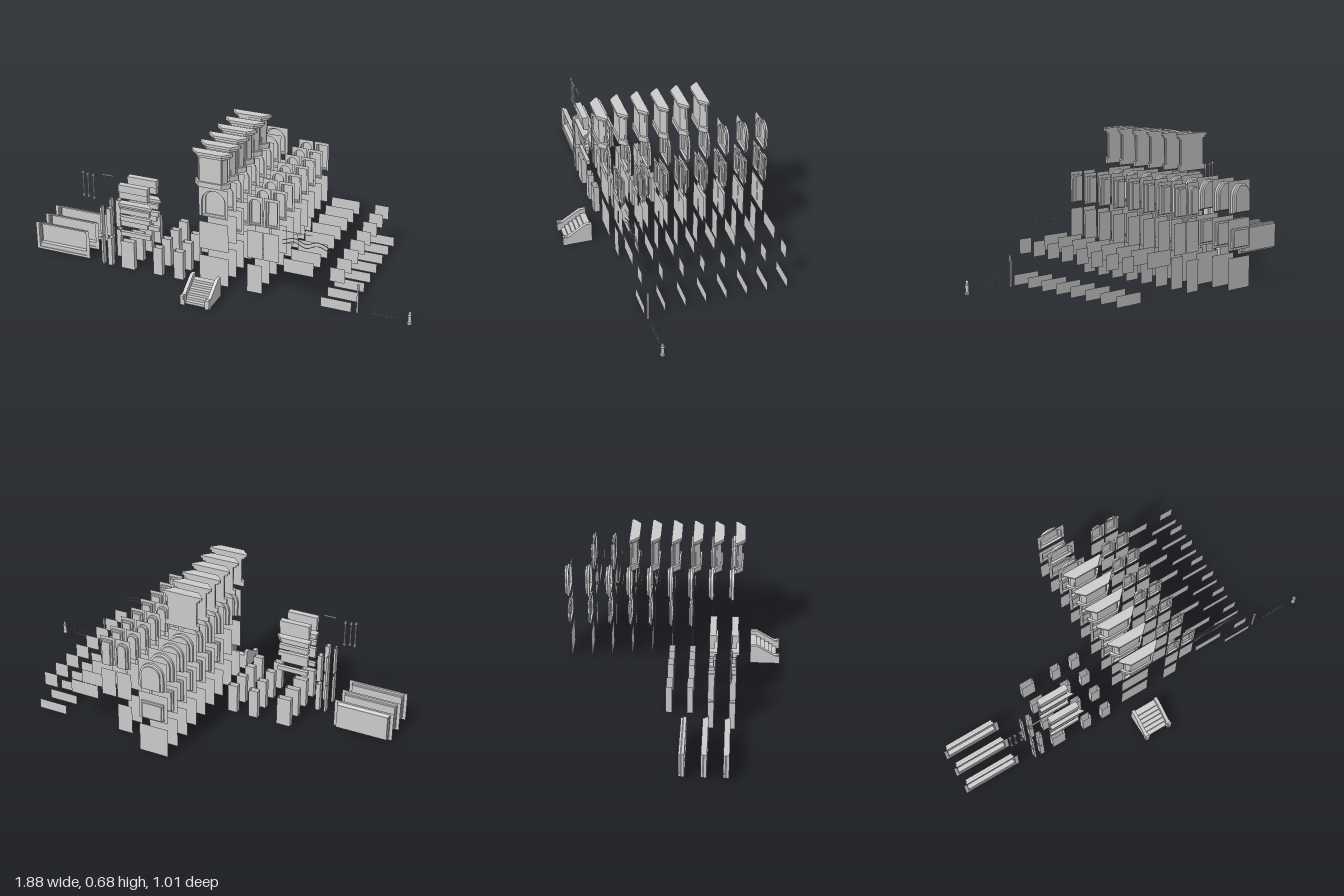
import * as THREE from 'three';

const mat = new THREE.MeshStandardMaterial({ color: 0xcccccc, side: THREE.DoubleSide, flatShading: true });
const smooth = new THREE.MeshStandardMaterial({ color: 0xcccccc, side: THREE.DoubleSide });
const STEP = 0.0956, FRONT = 0.28;
const rowZ = (i) => FRONT - i * STEP;

function add(parent, name, geo, x = 0, y = 0, z = 0, m = mat) {
  const mesh = new THREE.Mesh(geo, m);
  mesh.name = name;
  mesh.position.set(x, y, z);
  parent.add(mesh);
  return mesh;
}

// Box given by its limits
function block(parent, name, x0, x1, y0, y1, z0, z1) {
  return add(parent, name, new THREE.BoxGeometry(x1 - x0, y1 - y0, z1 - z0),
    (x0 + x1) / 2, (y0 + y1) / 2, (z0 + z1) / 2);
}

function sheet(parent, name, x0, x1, y0, y1, z) {
  return add(parent, name, new THREE.PlaneGeometry(x1 - x0, y1 - y0), (x0 + x1) / 2, (y0 + y1) / 2, z);
}

// Outline of a window opening, square or round-headed
function opening(x0, x1, y0, y1, arched) {
  const p = [new THREE.Vector2(x0, y0), new THREE.Vector2(x1, y0)];
  if (!arched) return [...p, new THREE.Vector2(x1, y1), new THREE.Vector2(x0, y1)];
  const r = (x1 - x0) / 2, cx = (x0 + x1) / 2;
  for (let i = 0; i <= 12; i++) {
    const a = Math.PI * i / 12;
    p.push(new THREE.Vector2(cx + r * Math.cos(a), y1 - r + r * Math.sin(a)));
  }
  return p;
}

// Surface joining cross-sections; each ring is a list of Vector3
function loft(rings, closed = true) {
  const n = rings[0].length, pos = [], idx = [];
  rings.forEach((r) => r.forEach((v) => pos.push(v.x, v.y, v.z)));
  for (let k = 0; k < rings.length - 1; k++) {
    for (let i = 0; i < (closed ? n : n - 1); i++) {
      const j = (i + 1) % n, a = k * n + i, b = k * n + j;
      idx.push(a, b, b + n, a, b + n, a + n);
    }
  }
  const g = new THREE.BufferGeometry();
  g.setAttribute('position', new THREE.Float32BufferAttribute(pos, 3));
  g.setIndex(idx);
  g.computeVertexNormals();
  return g;
}

// Thin wall with a stepped recess behind its opening; w = wall limits, o = opening limits
function recessedWall(parent, name, w, o, z, depth, inset, arched = false) {
  const g = new THREE.Group();
  g.name = name;
  parent.add(g);
  const front = opening(...o, arched);
  const back = opening(o[0] + inset, o[1] - inset, o[2] + inset * 0.4, o[3] - inset * 0.7, arched);
  const wall = new THREE.Shape(opening(...w, false));
  wall.holes.push(new THREE.Path(front));
  add(g, 'wall', new THREE.ShapeGeometry(wall), 0, 0, z);
  const at = (pts, d) => pts.map((p) => new THREE.Vector3(p.x, p.y, z - d));
  add(g, 'reveal', loft([at(front, 0), at(front, depth * 0.5), at(back, depth * 0.65), at(back, depth)]));
  add(g, 'pane', new THREE.ShapeGeometry(new THREE.Shape(back)), 0, 0, z - depth);
  return g;
}

// Upright prism over a plan drawn in x and z
function prism(parent, name, plan, y0, y1) {
  const s = new THREE.Shape(plan.map(([x, z]) => new THREE.Vector2(x, -z)));
  const g = new THREE.ExtrudeGeometry(s, { depth: y1 - y0, bevelEnabled: false });
  g.rotateX(-Math.PI / 2);
  return add(parent, name, g, 0, y0, 0);
}

// Projecting bay: base, canted body with windows, stepped cap
function bay(parent, z) {
  const g = new THREE.Group();
  g.name = 'bayWindow';
  g.position.z = z;
  parent.add(g);
  const plan = (b, f, d) => [[-b, 0], [b, 0], [b, d * 0.2], [f, d], [-f, d], [-b, d * 0.2]];
  prism(g, 'bayBase', plan(0.086, 0.056, 0.04), 0.51, 0.535);
  prism(g, 'bayBody', plan(0.072, 0.052, 0.033), 0.535, 0.655);
  prism(g, 'bayMoulding', plan(0.086, 0.056, 0.04), 0.655, 0.667);
  prism(g, 'bayCap', plan(0.097, 0.06, 0.046), 0.667, 0.68);
  for (const s of [-1, 1]) {
    const frame = add(g, 'sideSash', new THREE.BoxGeometry(0.02, 0.11, 0.003), s * 0.0625, 0.595, 0.021);
    frame.rotation.y = s * 0.92;
  }
}

// Pilaster open at top and bottom
function pilaster(parent, x0, x1, y0, y1, z0, z1) {
  const ring = (y) => [[x0, z0], [x0, z1], [x1, z1], [x1, z0]].map(([x, z]) => new THREE.Vector3(x, y, z));
  add(parent, 'pilaster', loft([ring(y0), ring(y1)]));
}

function rod(parent, name, pts, r) {
  const c = new THREE.CatmullRomCurve3(pts.map((p) => new THREE.Vector3(...p)));
  add(parent, name, new THREE.TubeGeometry(c, 20, r, 6), 0, 0, 0, smooth);
}

export function createModel() {
  const root = new THREE.Group();
  root.name = 'buildingKit';

  // Central wall modules, nine rows deep
  for (let i = 0; i < 9; i++) {
    const z = rowZ(i);
    sheet(root, 'groundWall', -0.072, 0.072, 0, 0.145, z);
    if (i < 2) sheet(root, 'plainWall', -0.072, 0.072, 0.178, 0.318, z);
    else recessedWall(root, 'squareWindow', [-0.072, 0.072, 0.178, 0.318],
      [-0.055, 0.055, 0.19, i === 8 ? 0.275 : 0.297], z, 0.016, 0.008);
    recessedWall(root, 'archedWindow', [-0.072, 0.072, 0.345, 0.49], [-0.058, 0.058, 0.346, 0.478], z, 0.023, 0.012, true);
    if (i < 6) bay(root, z);
  }

  // Narrow and low wall modules, eight rows deep
  for (let i = 0; i < 8; i++) {
    const z = rowZ(i);
    sheet(root, 'narrowGroundWall', 0.163, 0.238, 0, 0.145, z);
    [0.163, 0.243].forEach((x, k) => {
      sheet(root, 'narrowWallLower', x, x + 0.075, 0.178, 0.252, z);
      sheet(root, 'narrowWallUpper', x, x + 0.075, 0.252, 0.318, z);
      recessedWall(root, 'narrowWindow', [x, x + 0.075, 0.345, 0.49],
        [x + 0.01, x + 0.065, 0.348, 0.475], z, 0.018, 0.007, k === 0);
    });
    sheet(root, 'lowWall', 0.34, 0.484, 0.14, 0.21, z);
    sheet(root, 'shortLowWall', 0.56, 0.63, 0.14, 0.21, z);
    sheet(root, 'plinthWall', 0.52, 0.665, 0, 0.05, z);
  }

  // Shop fronts with a sill in the recess
  for (let i = 0; i < 3; i++) {
    const z = rowZ(i);
    recessedWall(root, 'shopFront', [-0.933, -0.645, 0, 0.145], [-0.917, -0.663, 0.012, 0.137], z, 0.026, 0.004);
    block(root, 'shopSill', -0.915, -0.665, 0.012, 0.033, z - 0.025, z - 0.004);
  }

  // Pilasters
  for (let i = 0; i < 4; i++) {
    const z = rowZ(i) - 0.008;
    for (const [a, b] of [[-0.467, -0.398], [-0.3, -0.254], [-0.195, -0.147]]) {
      pilaster(root, a, b, 0, 0.145, z, z + 0.028);
    }
    if (i < 2) {
      for (const [a, b] of [[-0.57, -0.56], [-0.537, -0.515]]) {
        pilaster(root, a, b, 0, 0.145, z, z + 0.028);
        pilaster(root, a, b, 0.158, 0.3, z, z + 0.028);
      }
    }
  }

  // Cornices and string courses: bottom, top, back end, front end, depth
  const courses = [
    [0.4, 0.436, -0.318, -0.318, 0.03], [0.366, 0.4, -0.322, -0.322, 0.024],
    [0.332, 0.345, -0.325, -0.293, 0.036], [0.32, 0.332, -0.33, -0.305, 0.026],
    [0.285, 0.31, -0.318, -0.318, 0.02], [0.247, 0.27, -0.315, -0.315, 0.02],
    [0.218, 0.247, -0.33, -0.33, 0.014], [0.168, 0.19, -0.315, -0.315, 0.018],
  ];
  for (let i = 0; i < 2; i++) {
    const z = rowZ(i) - 0.006;
    for (const [y0, y1, xb, xf, d] of courses) {
      prism(root, 'cornice', [[-0.467, z], [xb, z], [xf, z + d], [-0.467, z + d]], y0, y1);
    }
  }

  // Entrance stairs between sloping side walls
  const stairs = new THREE.Group();
  stairs.name = 'entranceStairs';
  root.add(stairs);
  const side = new THREE.Shape([[0.365, 0], [0.505, 0], [0.505, 0.045], [0.497, 0.05], [0.488, 0.045],
    [0.478, 0.045], [0.395, 0.098], [0.365, 0.098]].map(([z, y]) => new THREE.Vector2(-z, y)));
  for (const x of [-0.07, 0.054]) {
    const g = new THREE.ExtrudeGeometry(side, { depth: 0.016, bevelEnabled: false });
    g.rotateY(Math.PI / 2);
    add(stairs, 'stairSideWall', g, x, 0, 0);
  }
  for (const s of [-1, 1]) block(stairs, 'newelBlock', s * 0.0605 - 0.0115, s * 0.0605 + 0.0115, 0, 0.043, 0.482, 0.503);
  for (let i = 0; i < 6; i++) {
    block(stairs, 'stairStep', -0.054, 0.054, i * 0.0125, (i + 1) * 0.0125, 0.365, 0.49 - i * 0.019);
  }

  // Drainpipes and a loose horizontal pipe
  const pz = 0.276;
  for (const [x, y0, y1] of [[-0.66, 0.328, 0.465], [-0.636, 0.328, 0.458], [-0.608, 0.322, 0.458]]) {
    rod(root, 'drainpipe', [[x, y0, pz], [x, (y0 + y1) / 2, pz], [x, y1, pz]], 0.004);
    for (const y of [y0 + 0.01, y1 - 0.01]) block(root, 'pipeCollar', x - 0.006, x + 0.006, y - 0.003, y + 0.003, pz - 0.006, pz + 0.006);
  }
  rod(root, 'horizontalPipe', [[-0.56, 0.46, pz], [-0.53, 0.46, pz], [-0.5, 0.46, pz]], 0.004);

  // Hanging cables
  const cz = 0.272;
  rod(root, 'straightCable', [[0.33, 0.343, cz], [0.4, 0.343, cz], [0.47, 0.343, cz]], 0.0015);
  for (const [y, h] of [[0.295, 0.018], [0.275, 0.02]]) {
    rod(root, 'wavyCable', [0, 1, 2, 3, 4].map((k) => [0.33 + k * 0.056, y + (k % 2) * h, cz]), 0.002);
  }

  // Post, small railing and bollard
  block(root, 'post', 0.687, 0.695, 0, 0.145, 0.268, 0.276);
  for (let i = 0; i < 7; i++) block(root, 'railingBar', 0.75 + i * 0.02, 0.7525 + i * 0.02, 0.012, 0.05, 0.272, 0.2745);
  block(root, 'railingRail', 0.75, 0.873, 0.012, 0.0145, 0.272, 0.2745);
  const profile = [[0, 0], [0.011, 0], [0.011, 0.008], [0.008, 0.012], [0.008, 0.042], [0.01, 0.046], [0.006, 0.05],
    [0.007, 0.057], [0.004, 0.064], [0, 0.066]].map((p) => new THREE.Vector2(...p));
  add(root, 'bollard', new THREE.LatheGeometry(profile, 12), 0.933, 0, 0.277);

  return root;
}
